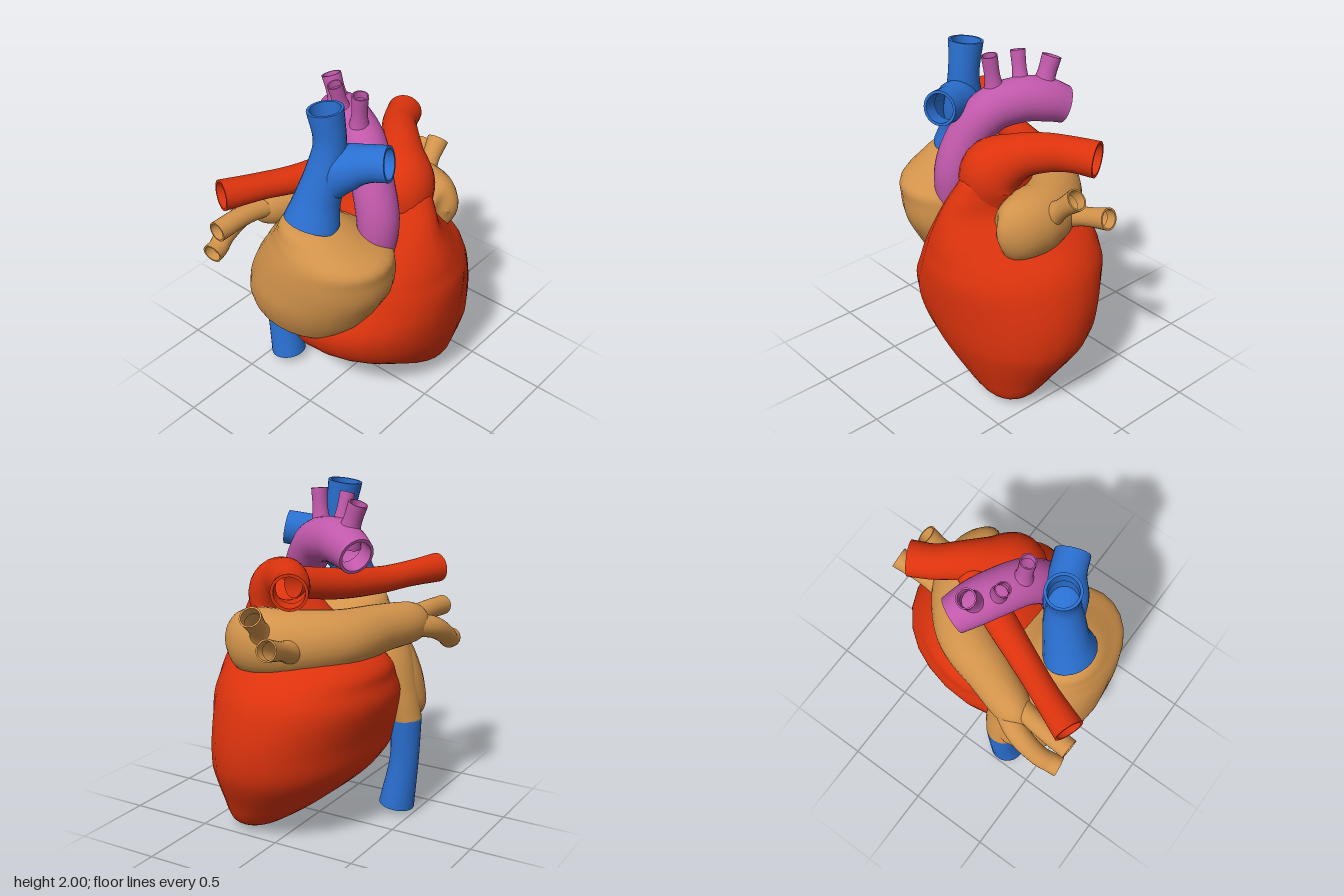
import * as THREE from 'three';
import { toCreasedNormals } from 'three/addons/utils/BufferGeometryUtils.js';

const SIDES = 24;
const paint = (color) => new THREE.MeshStandardMaterial({ color, side: THREE.DoubleSide });

// Skin of rings along a smooth path. Each station is [x, y, z, radiusA, radiusB].
// level: keep rings horizontal (A along x, B along z); otherwise rings follow the path
// (A horizontal at the start). open: finish with a rim and an inner wall.
// swell: radius factor by angle round the ring and height.
function sweep(stations, { level = false, open = false, swell = () => 1 } = {}) {
  const path = new THREE.CatmullRomCurve3(
    stations.map(([x, y, z]) => new THREE.Vector3(x, y, z)), false, 'catmullrom', 0.5);
  const size = new THREE.CatmullRomCurve3(
    stations.map(([, , , a, b = a]) => new THREE.Vector3(a, b, 0)), false, 'catmullrom', 0.5);
  const position = [], index = [];
  let rings = 0;
  const addRing = (c, n, b, ra, rb) => {
    for (let j = 0; j < SIDES; j++) {
      const t = (j / SIDES) * Math.PI * 2, k = swell(t, c.y);
      const p = c.clone().addScaledVector(n, Math.cos(t) * ra * k).addScaledVector(b, Math.sin(t) * rb * k);
      position.push(p.x, p.y, p.z);
    }
    rings++;
  };

  const count = (stations.length - 1) * 6;
  const n = new THREE.Vector3(), b = new THREE.Vector3();
  let c, s, tangent;
  for (let i = 0; i <= count; i++) {
    c = path.getPoint(i / count);
    s = size.getPoint(i / count);
    tangent = level ? new THREE.Vector3(0, 1, 0) : path.getTangent(i / count);
    if (i === 0) {
      n.set(0, 1, 0).cross(tangent);
      if (level || n.length() < 0.3) n.set(1, 0, 0);
    }
    n.addScaledVector(tangent, -n.dot(tangent)).normalize();
    b.crossVectors(tangent, n);
    addRing(c, n, b, Math.max(s.x, 0.001), Math.max(s.y, 0.001));
  }
  if (open) {
    const inner = s.x * 0.84;
    addRing(c, n, b, inner, inner);
    addRing(c.clone().addScaledVector(tangent, -s.x * 0.9), n, b, inner * 0.95, inner * 0.95);
  }

  for (let i = 0; i < rings - 1; i++) {
    for (let j = 0; j < SIDES; j++) {
      const k = (j + 1) % SIDES;
      const p = i * SIDES + j, q = i * SIDES + k;
      index.push(p, q, q + SIDES, p, q + SIDES, p + SIDES);
    }
  }
  const geometry = new THREE.BufferGeometry();
  geometry.setAttribute('position', new THREE.Float32BufferAttribute(position, 3));
  geometry.setIndex(index);
  return toCreasedNormals(geometry, 0.9);
}

// Main muscle outline: fuller at the front right, flattened at the upper back left
function muscleSwell(t, y) {
  const full = 0.17 * Math.max(0, Math.cos(t - 3.93)) ** 4;
  const flat = 0.13 * THREE.MathUtils.clamp((y - 0.5) * 2, -0.2, 1);
  return 1 + full - flat * Math.max(0, Math.cos(t - 0.785)) ** 4;
}

export function createModel() {
  const model = new THREE.Group();
  model.name = 'heart';
  const red = paint(0xdc330d), tan = paint(0xd2934b);
  const blue = paint(0x2a6fd0), purple = paint(0xc058aa);
  const add = (name, material, stations, options) => {
    const mesh = new THREE.Mesh(sweep(stations, options), material);
    mesh.name = name;
    model.add(mesh);
  };
  const vessel = (name, material, stations) => add(name, material, stations, { open: true });

  // Main muscle, tapering to the apex
  add('ventricles', red, [
    [0.25, 0.005, -0.32, 0, 0],
    [0.24, 0.05, -0.3, 0.14, 0.16],
    [0.17, 0.2, -0.22, 0.29, 0.34],
    [0.1, 0.4, -0.13, 0.43, 0.54],
    [0.085, 0.6, -0.1, 0.485, 0.6],
    [0.07, 0.8, -0.13, 0.52, 0.54],
    [0.07, 0.92, -0.13, 0.505, 0.48],
    [0.075, 1.03, -0.11, 0.48, 0.38],
    [0.15, 1.18, -0.08, 0.345, 0.23],
    [0.175, 1.3, -0.1, 0.26, 0.17],
    [0.18, 1.4, -0.12, 0.175, 0.13],
    [0.17, 1.47, -0.13, 0, 0],
  ], { level: true, swell: muscleSwell });

  // Pulmonary trunk bending backwards, and its branch reaching forwards
  vessel('pulmonaryTrunk', red, [
    [0.18, 1.24, -0.09, 0.18], [0.19, 1.4, -0.12, 0.185], [0.1, 1.49, -0.22, 0.13],
    [0, 1.52, -0.33, 0.11], [-0.09, 1.52, -0.44, 0.1], [-0.155, 1.515, -0.57, 0.103],
  ]);
  vessel('rightPulmonaryArtery', red, [
    [0, 1.5, -0.28, 0.09], [-0.12, 1.45, 0, 0.09], [-0.24, 1.43, 0.28, 0.08],
    [-0.33, 1.44, 0.48, 0.077], [-0.42, 1.45, 0.695, 0.088],
  ]);

  // Front chamber and the column leading down to the lower vein
  add('frontChamber', tan, [
    [-0.13, 0.53, 0.41, 0, 0],
    [-0.14, 0.56, 0.38, 0.27, 0.18],
    [-0.125, 0.66, 0.34, 0.385, 0.285],
    [-0.075, 0.8, 0.33, 0.425, 0.335],
    [-0.01, 0.95, 0.33, 0.435, 0.34],
    [0.04, 1.08, 0.34, 0.4, 0.325],
    [0.07, 1.17, 0.355, 0.36, 0.295],
    [0.035, 1.24, 0.39, 0.27, 0.23],
    [-0.015, 1.315, 0.42, 0.16, 0.145],
    [-0.01, 1.33, 0.42, 0, 0],
  ], { level: true });
  add('rightAtrium', tan, [
    [-0.44, 0.615, 0.27, 0.093, 0.1], [-0.39, 0.78, 0.27, 0.11, 0.13],
    [-0.28, 1.0, 0.29, 0.15, 0.18], [-0.14, 1.2, 0.35, 0.14, 0.17],
    [-0.02, 1.31, 0.41, 0.13, 0.13],
  ], { level: true });

  // Rear chamber wrapping round to the side, with its four veins
  add('leftAtrium', tan, [
    [0.365, 1.14, -0.33, 0, 0], [0.325, 1.145, -0.355, 0.1, 0.15],
    [0.18, 1.15, -0.365, 0.17, 0.2], [0, 1.16, -0.33, 0.18, 0.19],
    [-0.22, 1.17, -0.15, 0.17, 0.17], [-0.34, 1.19, 0.12, 0.14, 0.14],
    [-0.44, 1.19, 0.36, 0.1, 0.11], [-0.48, 1.19, 0.46, 0, 0],
  ]);
  vessel('upperRightVein', tan, [
    [-0.38, 1.2, 0.25, 0.06], [-0.43, 1.22, 0.5, 0.058], [-0.445, 1.21, 0.73, 0.06],
  ]);
  vessel('lowerRightVein', tan, [
    [-0.42, 1.19, 0.25, 0.07], [-0.52, 1.15, 0.43, 0.066],
    [-0.54, 1.07, 0.58, 0.058], [-0.525, 1.025, 0.66, 0.058], [-0.515, 1.015, 0.72, 0.06],
  ]);
  vessel('lowerLeftVein', tan, [
    [-0.07, 1.14, -0.4, 0.08], [-0.09, 1.18, -0.55, 0.055], [-0.105, 1.23, -0.72, 0.063],
  ]);
  vessel('upperLeftVein', tan, [
    [0.1, 1.15, -0.4, 0.11], [0.075, 1.27, -0.52, 0.056], [0.055, 1.37, -0.63, 0.064],
  ]);

  // Large veins
  vessel('upperVein', blue, [
    [-0.01, 1.315, 0.42, 0.165, 0.15], [0, 1.45, 0.38, 0.13], [0.025, 1.6, 0.34, 0.115],
    [0.04, 1.8, 0.315, 0.09], [0.015, 1.99, 0.32, 0.1],
  ]);
  vessel('upperVeinBranch', blue, [
    [0.03, 1.53, 0.34, 0.1], [0.12, 1.65, 0.28, 0.125],
    [0.22, 1.69, 0.22, 0.104], [0.33, 1.71, 0.175, 0.1],
  ]);
  vessel('lowerVein', blue, [
    [-0.44, 0.62, 0.27, 0.093, 0.1], [-0.435, 0.35, 0.27, 0.088], [-0.39, 0.05, 0.27, 0.108],
  ]);

  // Aorta with its arch and three upward branches
  vessel('aorta', purple, [
    [0.24, 1.05, 0.17, 0.1], [0.245, 1.3, 0.16, 0.12], [0.18, 1.5, 0.13, 0.12],
    [0.06, 1.66, 0.06, 0.128], [-0.1, 1.705, -0.02, 0.13],
    [-0.22, 1.69, -0.085, 0.125], [-0.32, 1.65, -0.14, 0.108],
  ]);
  [
    [[-0.2, 1.7, -0.06], [-0.285, 1.93, -0.065], 0.056],
    [[-0.12, 1.72, 0.0], [-0.145, 1.965, 0.065], 0.043],
    [[0.02, 1.7, 0.06], [0.05, 1.975, 0.08], 0.046],
  ].forEach(([from, to, r], i) => {
    const mid = from.map((v, k) => v * 0.5 + to[k] * 0.5);
    vessel('aortaBranch' + (i + 1), purple, [[...from, r * 1.7], [...mid, r], [...to, r]]);
  });

  return model;
}
